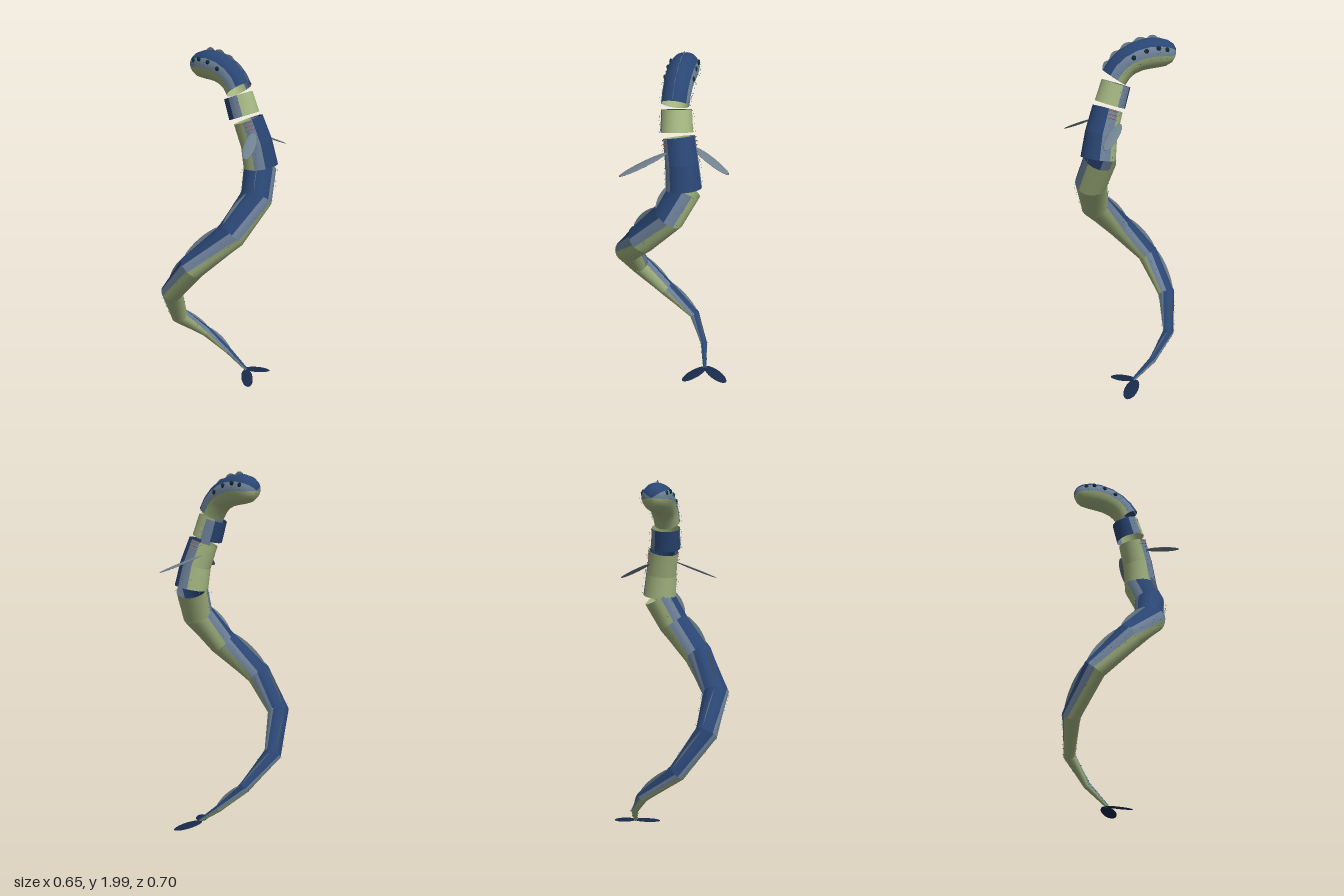
import * as THREE from 'three';

const V = (x, y, z) => new THREE.Vector3(x, y, z);
const mat = (name, color) => {
  const m = new THREE.MeshStandardMaterial({ color, side: THREE.DoubleSide });
  m.name = name;
  return m;
};

export function createModel() {
  const model = new THREE.Group();
  const navy = mat('navy back', 0x2a4674);
  const slate = mat('slate flank', 0x70839d);
  const green = mat('green belly', 0xa6b883);
  const finGrey = mat('grey blue fin', 0x71828f);
  const tailBlue = mat('dark tail blue', 0x182a4b);
  const eyeDark = mat('dark teal eye', 0x11302f);
  const teal = mat('teal speckle', 0x27806f);
  const rust = mat('gill rust', 0xa8705c);

  const add = (parent, name, geo, material) => {
    const m = new THREE.Mesh(geo, material);
    m.name = name;
    parent.add(m);
    return m;
  };

  // Point on a ring; the angle is measured from the back towards the side
  const ringPoint = (r, belly, a, grow = 1) => {
    const back = belly.clone().negate();
    back.addScaledVector(r.t, -back.dot(r.t)).normalize();
    const side = r.t.clone().cross(back);
    return r.p.clone().addScaledVector(back, Math.cos(a) * r.r * grow).addScaledVector(side, Math.sin(a) * r.r * grow);
  };

  // Lengthwise strip of skin between two angles, facing outwards
  const strip = (rings, belly, a0, a1, n) => {
    const pos = [], idx = [];
    rings.forEach((r, i) => {
      for (let j = 0; j <= n; j++) {
        pos.push(...ringPoint(r, belly, a0 + (a1 - a0) * j / n).toArray());
        if (i && j) {
          const b = i * (n + 1) + j, a = b - n - 1;
          idx.push(a - 1, a, b, a - 1, b, b - 1);
        }
      }
    });
    const g = new THREE.BufferGeometry();
    g.setAttribute('position', new THREE.Float32BufferAttribute(pos, 3));
    g.setIndex(idx);
    g.computeVertexNormals();
    return g;
  };

  const skin = (name, rings, belly) => {
    const g = new THREE.Group();
    g.name = name;
    add(g, 'back', strip(rings, belly, -1.05, 1.05, 8), navy);
    add(g, 'leftFlank', strip(rings, belly, 1.05, 1.7, 3), slate);
    add(g, 'rightFlank', strip(rings, belly, -1.7, -1.05, 3), slate);
    add(g, 'belly', strip(rings, belly, 1.7, 2 * Math.PI - 1.7, 9), green);
    model.add(g);
  };

  // Rings along a path; joints are mitred by the averaged direction
  const makeRings = (rows) => rows.map(([x, y, z, r], i) => {
    const a = rows[Math.max(i - 1, 0)], b = rows[Math.min(i + 1, rows.length - 1)];
    const cur = rows[i];
    const dir = (p, q) => V(q[0] - p[0], q[1] - p[1], q[2] - p[2]).normalize();
    const t = V(0, 0, 0);
    if (a !== cur) t.add(dir(a, cur));
    if (b !== cur) t.add(dir(cur, b));
    return { p: V(x, y, z), r, t: t.normalize() };
  });

  const down = V(0, -1, 0);
  const tail = makeRings([
    [0, 0.04, -0.21, 0.01], [-0.12, 0.14, -0.18, 0.02], [-0.235, 0.27, -0.095, 0.032],
    [-0.268, 0.43, 0.105, 0.05], [-0.18, 0.64, 0.25, 0.062], [-0.005, 0.83, 0.267, 0.074],
    [0.163, 1.02, 0.13, 0.083], [0.205, 1.2, -0.03, 0.089], [0.165, 1.355, -0.11, 0.09],
  ]);
  const chest = makeRings([[0.175, 1.36, -0.105, 0.096], [0.155, 1.49, -0.09, 0.088], [0.115, 1.62, -0.065, 0.083]]);
  const neck = makeRings([[0.1, 1.64, -0.05, 0.085], [0.065, 1.75, -0.04, 0.08]]);
  const head = makeRings([
    [0.075, 1.78, -0.035, 0.073], [0.045, 1.825, -0.035, 0.074], [0.005, 1.86, -0.035, 0.076],
    [-0.05, 1.888, -0.035, 0.079], [-0.11, 1.902, -0.035, 0.081], [-0.165, 1.905, -0.035, 0.078],
    [-0.21, 1.902, -0.035, 0.068], [-0.24, 1.9, -0.035, 0.05], [-0.254, 1.898, -0.035, 0.028], [-0.259, 1.897, -0.035, 0.001],
  ]);

  // Belly direction of each body segment: the skin twists slowly along the coil
  const tailBellies = [
    V(0.1, -1, 0), V(0.15, -1, 0), V(0.25, -0.95, 0), V(0.55, -0.75, 0),
    V(0.3, -0.9, 0), V(0, -1, 0), V(0, -0.9, -0.3), V(-0.4, -0.6, -0.7),
  ];
  const pieces = tailBellies.map((b, i) => ['bodySegment' + (i + 1), [tail[i], tail[i + 1]], b]);
  const chestBelly = V(-0.9, 0, 0.42);
  pieces.push(['lowerChest', [chest[0], chest[1]], chestBelly], ['upperChest', [chest[1], chest[2]], chestBelly]);
  pieces.push(['neck', neck, V(0.8, 0, -0.4)], ['head', head, down]);
  pieces.forEach((p) => skin(...p));

  // Scalloped crest: a thin arch on the back of a span
  const crest = (a, b, belly, height) => {
    const p = ringPoint(a, belly, 0, 0.94), q = ringPoint(b, belly, 0, 0.94);
    const n = 8, pos = [], idx = [];
    const up = p.clone().sub(a.p).normalize().add(q.clone().sub(b.p).normalize()).normalize();
    for (let i = 0; i <= n; i++) {
      const base = p.clone().lerp(q, i / n);
      const top = base.clone().addScaledVector(up, height * Math.sin(Math.PI * i / n) ** 0.7);
      pos.push(...base.toArray(), ...top.toArray());
      if (i) idx.push(2 * i - 2, 2 * i, 2 * i + 1, 2 * i - 2, 2 * i + 1, 2 * i - 1);
    }
    const g = new THREE.BufferGeometry();
    g.setAttribute('position', new THREE.Float32BufferAttribute(pos, 3));
    g.setIndex(idx);
    g.computeVertexNormals();
    add(model, 'dorsalCrest', g, finGrey);
  };
  for (let i = 1; i < 8; i++) crest(tail[i], tail[i + 1], tailBellies[i], 0.014 + tail[i].r * 0.15);
  for (let i = 0; i < 5; i++) crest(head[i], head[i + 1], down, 0.02);

  // Leaf-shaped fin from root to tip, lying close to level
  const leaf = (name, root, tip, width, material) => {
    const d = tip.clone().sub(root), len = d.length();
    const g = new THREE.SphereGeometry(1, 20, 10);
    g.scale(len / 2, 0.005, width / 2);
    const x = d.normalize(), z = x.clone().cross(V(0, 1, 0)).normalize(), y = z.clone().cross(x);
    g.applyMatrix4(new THREE.Matrix4().makeBasis(x, y, z));
    const m = add(model, name, g, material);
    m.position.copy(root).lerp(tip, 0.5);
  };
  leaf('leftPectoralFin', V(0.19, 1.56, -0.02), V(0.32, 1.46, 0.205), 0.065, finGrey);
  leaf('rightPectoralFin', V(0.06, 1.55, -0.13), V(0.175, 1.46, -0.34), 0.065, finGrey);
  leaf('rightTailFluke', V(-0.015, 0.04, -0.21), V(0.065, 0.006, -0.355), 0.08, tailBlue);
  leaf('leftTailFluke', V(-0.01, 0.04, -0.215), V(0.11, 0.006, -0.09), 0.07, tailBlue);

  // Row of four eyes on each side of the head
  [[-0.197, 1.926], [-0.15, 1.936], [-0.085, 1.922], [-0.018, 1.89]].forEach(([x, y], i) => {
    for (const s of [-1, 1]) {
      const e = add(model, 'eye', new THREE.SphereGeometry(0.013, 10, 8), eyeDark);
      e.position.set(x, y, -0.035 + s * (i ? 0.075 : 0.066));
      e.scale.z = 0.6;
    }
  });

  // Gill slits on both sides of the upper chest
  for (const s of [-1, 1]) for (let i = 0; i < 3; i++) {
    const r = { p: chest[1].p.clone().lerp(chest[2].p, 0.65 + i * 0.15), r: 0.087, t: chest[2].t };
    const pts = [1.1, 1.3, 1.5, 1.7].map((a) => ringPoint(r, chestBelly, a * s));
    add(model, 'gillSlit', new THREE.TubeGeometry(new THREE.CatmullRomCurve3(pts), 8, 0.003, 5), rust);
  }

  // Tiny glowing speckles floating just off both flanks
  let seed = 7;
  const rnd = () => (seed = (seed * 16807) % 2147483647) / 2147483647;
  const dot = new THREE.OctahedronGeometry(0.0026);
  pieces.forEach(([name, rings, belly]) => {
    const count = name === 'head' ? 60 : 20;
    for (let i = 0; i < count; i++) {
      const k = Math.floor(rnd() * Math.min(rings.length - 1, 6)), a = rings[k], b = rings[k + 1];
      const angle = (i % 2 ? 1 : -1) * (1.2 + rnd() * 0.7), f = rnd(), grow = 1.03 + rnd() * 0.12;
      const p = ringPoint(a, belly, angle, grow).lerp(ringPoint(b, belly, angle, grow), f);
      add(model, 'speckle', dot, teal).position.copy(p);
    }
  });
  return model;
}
